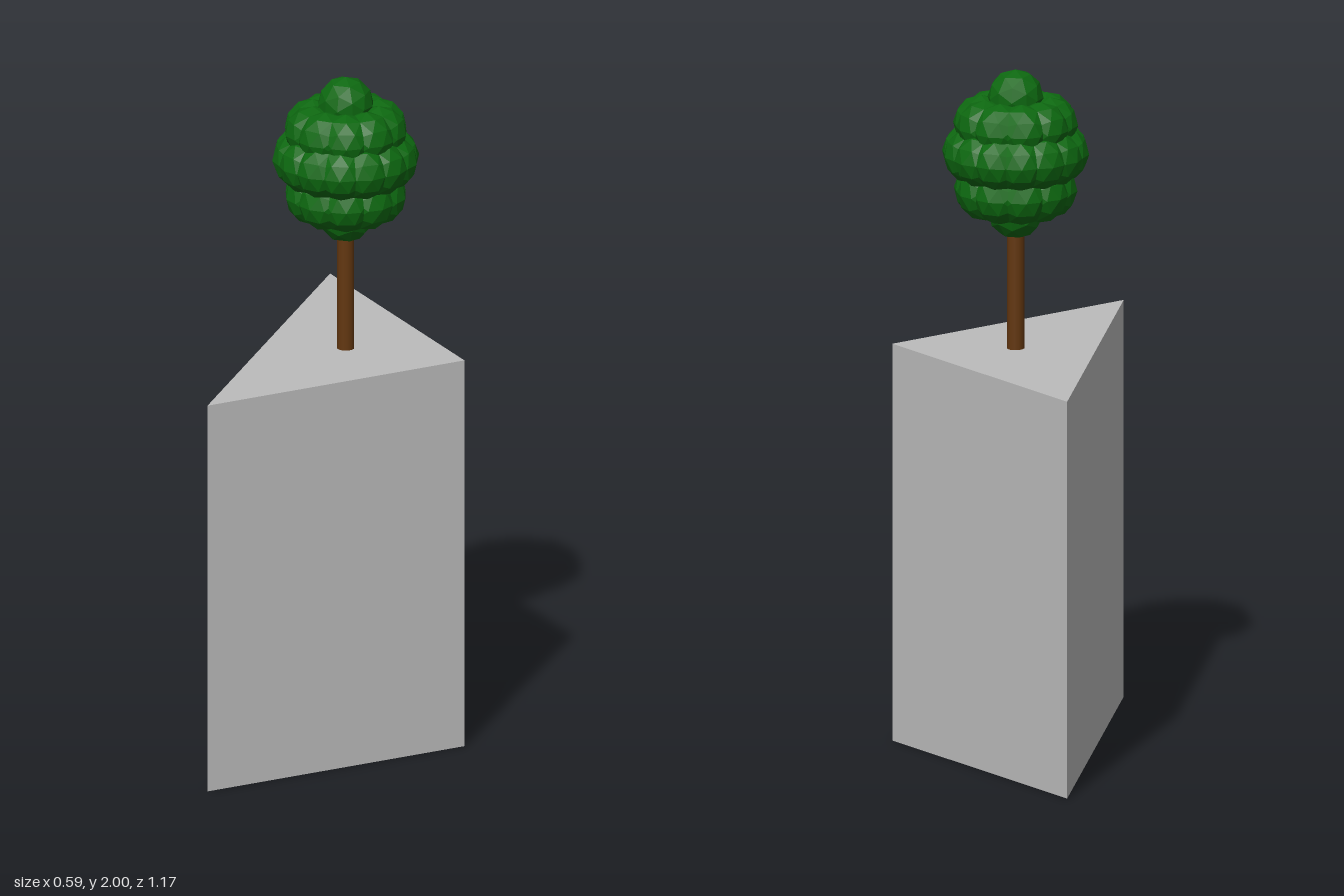
import * as THREE from 'three';

export function createModel() {
  const model = new THREE.Group();
  const stone = new THREE.MeshStandardMaterial({ color: 0xbcbcbc });
  const bark = new THREE.MeshStandardMaterial({ color: 0x633710 });
  const leaf = new THREE.MeshStandardMaterial({ color: 0x0d6810 });
  stone.name = 'stone grey';
  bark.name = 'bark brown';
  leaf.name = 'leaf green';
  leaf.flatShading = true;

  // Triangular prism pedestal, outline drawn in x and -z
  const outline = new THREE.Shape([
    new THREE.Vector2(-0.294, -0.587),
    new THREE.Vector2(0.294, 0),
    new THREE.Vector2(-0.294, 0.587),
  ]);
  const prism = new THREE.ExtrudeGeometry(outline, { depth: 1.175, bevelEnabled: false });
  prism.rotateX(-Math.PI / 2);
  const pedestal = new THREE.Mesh(prism, stone);
  pedestal.name = 'pedestal';
  model.add(pedestal);

  // Tree standing over the prism's middle
  const tree = new THREE.Group();
  tree.name = 'tree';
  tree.position.x = -0.063;
  model.add(tree);

  const trunk = new THREE.Mesh(new THREE.CylinderGeometry(0.025, 0.025, 0.4, 12), bark);
  trunk.name = 'trunk';
  trunk.position.y = 1.375;
  tree.add(trunk);

  // Crown: rings of faceted leaf balls with one at the top and bottom
  const crown = new THREE.Group();
  crown.name = 'crown';
  tree.add(crown);
  const ball = new THREE.IcosahedronGeometry(0.081, 1);
  const rings = [
    { y: 1.581, radius: 0, count: 1 },
    { y: 1.646, radius: 0.098, count: 10 },
    { y: 1.755, radius: 0.132, count: 14 },
    { y: 1.84, radius: 0.1, count: 10 },
    { y: 1.919, radius: 0, count: 1 },
  ];
  for (const { y, radius, count } of rings) {
    for (let i = 0; i < count; i++) {
      const a = (i / count) * Math.PI * 2;
      const clump = new THREE.Mesh(ball, leaf);
      clump.name = 'leafClump';
      clump.position.set(Math.cos(a) * radius, y, Math.sin(a) * radius);
      clump.rotation.y = -a;
      crown.add(clump);
    }
  }
  return model;
}
